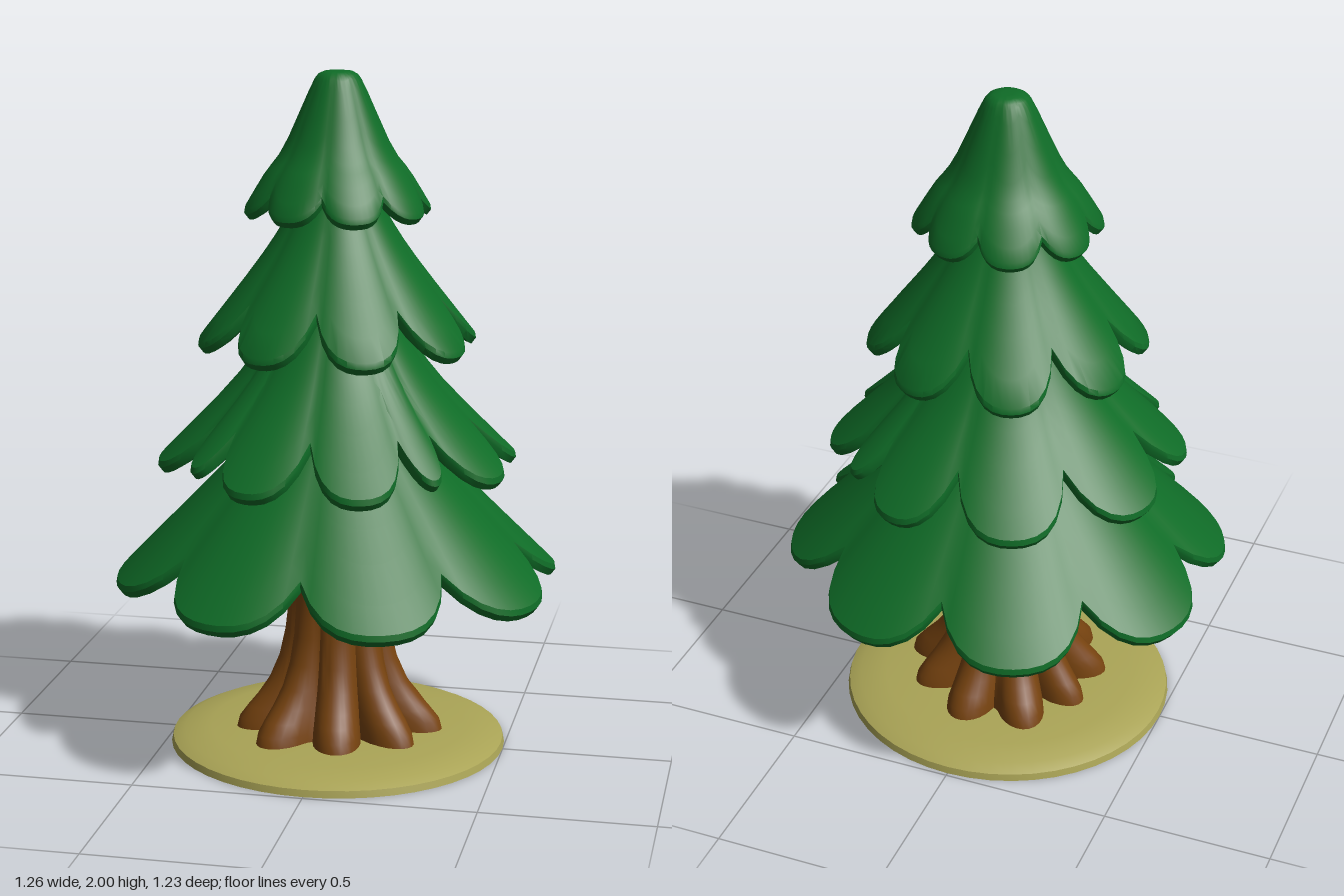
import * as THREE from 'three';
import { toCreasedNormals } from 'three/addons/utils/BufferGeometryUtils.js';

const material = (name, color) => new THREE.MeshStandardMaterial({ name, color });

// Skin a stack of closed rings, listed from top to bottom on the outside
function loft(rings, crease) {
  const n = rings[0].length, index = [];
  for (let i = 0; i < rings.length - 1; i++) {
    for (let j = 0; j < n; j++) {
      const a = i * n + j, b = i * n + (j + 1) % n;
      index.push(a, b, a + n, b, b + n, a + n);
    }
  }
  const geometry = new THREE.BufferGeometry().setFromPoints(rings.flat());
  geometry.setIndex(index);
  return toCreasedNormals(geometry, crease);
}

const polar = (r, y, angle) => new THREE.Vector3(r * Math.cos(angle), y, r * Math.sin(angle));

// Angles around a tier with the lobe fullness (0 in a notch, 1 mid lobe)
function lobeColumns(notches) {
  const columns = [], steps = 12;
  notches.forEach((from, k) => {
    const to = k + 1 < notches.length ? notches[k + 1] : notches[0] + 360;
    const height = to - from < 25 ? 0.7 : 1;
    for (let s = 0; s < steps; s++) {
      const u = (s / steps) * 2 - 1;
      columns.push({
        angle: THREE.MathUtils.degToRad(from + ((to - from) * s) / steps),
        full: height * (1 - Math.abs(u) ** 2.2),
      });
    }
  });
  return columns;
}

// Hollow scalloped skirt of foliage: outer skin, rounded rim, inner skin
function tierGeometry(profile, notches, depth, thickness) {
  const curve = new THREE.SplineCurve(profile.map(([r, y]) => new THREE.Vector2(r, y)));
  const columns = lobeColumns(notches), rows = 12, rings = [];
  const point = (c, t, inset, drop) => {
    const p = curve.getPoint(t * (1 - depth * (1 - c.full)));
    const crease = 1 - 0.035 * t * (1 - c.full);
    return polar(Math.max(0, p.x * crease - inset), p.y - drop, c.angle);
  };
  const ring = (t, inset, drop) => rings.push(columns.map(c => point(c, t, inset, drop)));
  for (let i = 0; i <= rows; i++) ring(i / rows, 0, 0);
  ring(1, -0.003, thickness * 0.5);
  ring(1, thickness * 0.3, thickness);
  for (let i = rows; i >= 0; i--) ring(i / rows, thickness * 0.8, thickness * 0.75);
  return loft(rings, 0.55);
}

// Trunk flaring into rounded roots
function trunkGeometry() {
  const profile = [ // height, crest radius, groove depth
    [1.3, 0, 0], [1.3, 0.1, 0], [0.9, 0.12, 0.004], [0.55, 0.137, 0.008], [0.45, 0.145, 0.012],
    [0.35, 0.157, 0.02], [0.27, 0.175, 0.03], [0.2, 0.205, 0.05], [0.15, 0.24, 0.075],
    [0.115, 0.27, 0.1], [0.08, 0.297, 0.12], [0.04, 0.307, 0.125], [0.04, 0, 0],
  ];
  const segments = 108;
  return loft(profile.map(([y, r, groove]) => Array.from({ length: segments }, (_, j) => {
    const angle = (j / segments) * Math.PI * 2;
    const root = Math.abs(Math.cos(4.5 * angle + 0.25 * Math.sin(2 * angle))) ** 0.7;
    const uneven = 0.12 * groove * Math.sin(3 * angle + 1);
    return polar(r - groove * (1 - root) + uneven, y, angle);
  })), 0.6);
}

export function createModel() {
  const green = material('foliage green', 0x0f6c27);
  const brown = material('bark brown', 0x77430f);
  const sand = material('ground olive', 0xaaa456);
  const tree = new THREE.Group();
  tree.name = 'pineTree';

  const add = (name, geometry, mat) => {
    const mesh = new THREE.Mesh(geometry, mat);
    mesh.name = name;
    tree.add(mesh);
    return mesh;
  };

  // Ground disc with a softly rounded edge
  const disc = [[0, 0], [0.5, 0], [0.495, 0.02], [0.46, 0.036], [0.38, 0.047], [0.25, 0.054], [0, 0.056]];
  const base = new THREE.LatheGeometry(disc.map(([r, y]) => new THREE.Vector2(r, y)), 48);
  add('groundDisc', toCreasedNormals(base, 0.6), sand).scale.z = 0.98;

  add('trunk', trunkGeometry(), brown);

  // Foliage tiers from bottom to top; the second has small extra lobes
  const eight = [0, 45, 90, 135, 180, 225, 270, 315];
  const extra = [0, 37, 53, 90, 127, 143, 180, 225, 270, 307, 323];
  const tiers = [
    { name: 'bottomTier', notches: eight, depth: 0.13, thickness: 0.035,
      profile: [[0.1, 1.1], [0.18, 1.03], [0.28, 0.91], [0.42, 0.765], [0.655, 0.53]] },
    { name: 'lowerMiddleTier', notches: extra, depth: 0.15, thickness: 0.035,
      profile: [[0.09, 1.42], [0.14, 1.35], [0.2, 1.25], [0.31, 1.1], [0.525, 0.88]] },
    { name: 'upperMiddleTier', notches: eight, depth: 0.14, thickness: 0.035,
      profile: [[0.07, 1.74], [0.1, 1.68], [0.145, 1.59], [0.23, 1.46], [0.405, 1.235]] },
    { name: 'topTier', notches: eight, depth: 0.12, thickness: 0.032,
      profile: [[0, 2], [0.05, 1.995], [0.08, 1.95], [0.155, 1.785], [0.21, 1.71], [0.268, 1.615]] },
  ];
  for (const t of tiers) {
    add(t.name, tierGeometry(t.profile, t.notches, t.depth, t.thickness), green).scale.z = 0.98;
  }
  return tree;
}
